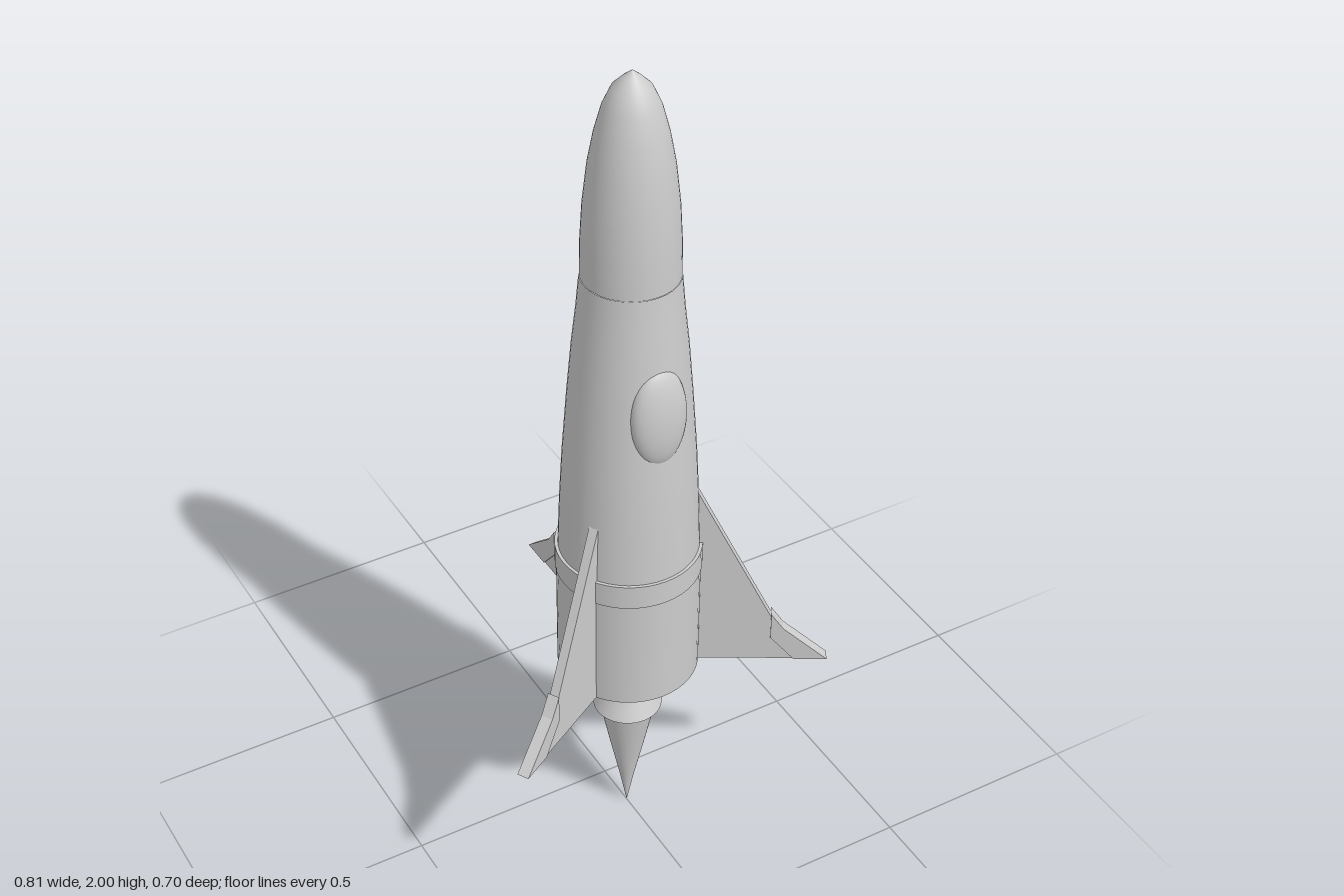
import * as THREE from 'three';

const AXIS_Z = 0.107;

export function createModel() {
  const model = new THREE.Group();
  model.name = 'rocket';
  const grey = new THREE.MeshStandardMaterial({ color: 0xcccccc });
  grey.name = 'light grey';

  const rocket = new THREE.Group();
  rocket.name = 'rocketAssembly';
  rocket.position.z = AXIS_Z;
  model.add(rocket);

  function add(name, geometry, parent = rocket) {
    const mesh = new THREE.Mesh(geometry, grey);
    mesh.name = name;
    parent.add(mesh);
    return mesh;
  }

  // Turned section; points are [radius, height], running upwards or outside-in
  function turn(name, points) {
    const profile = points.map(([r, y]) => new THREE.Vector2(r, y));
    return add(name, new THREE.LatheGeometry(profile, 48));
  }

  // Flat prism in the radial plane, centred on its thickness
  function plate(points, thickness) {
    const shape = new THREE.Shape(points.map(([r, y]) => new THREE.Vector2(r, y)));
    const geometry = new THREE.ExtrudeGeometry(shape, { depth: thickness, bevelEnabled: false });
    return geometry.translate(0, 0, -thickness / 2);
  }

  // Hull
  turn('engineSection', [[0.162, 0.475], [0.162, 0.79]]);
  turn('hullBase', [[0, 0.475], [0.162, 0.475]]);
  turn('hull', [
    [0.159, 0.79], [0.153, 0.95], [0.146, 1.08], [0.135, 1.23],
    [0.124, 1.36], [0.114, 1.45], [0.107, 1.53],
  ]);
  turn('nose', [
    [0.106, 1.53], [0.105, 1.61], [0.1, 1.7], [0.09, 1.79], [0.077, 1.86],
    [0.061, 1.92], [0.042, 1.962], [0.02, 1.984], [0, 2],
  ]);

  // Raised band around the hull
  turn('bandSide', [[0.165, 0.76], [0.165, 0.82]]);
  turn('bandTop', [[0.165, 0.82], [0.15, 0.82]]);
  turn('bandBottom', [[0.15, 0.76], [0.165, 0.76]]);

  // Nozzle and exhaust
  turn('nozzle', [
    [0.08, 0.33], [0.067, 0.358], [0.051, 0.39], [0.043, 0.418],
    [0.045, 0.445], [0.05, 0.477],
  ]);
  turn('nozzleBase', [[0, 0.33], [0.08, 0.33]]);
  turn('exhaustFlame', [[0, 0], [0.018, 0.095], [0.043, 0.215], [0.066, 0.331]]);

  // Bulging oval window
  const porthole = add('window', new THREE.SphereGeometry(1, 32, 20));
  porthole.scale.set(0.066, 0.121, 0.036);
  porthole.position.set(0, 1.24, 0.119);
  porthole.rotation.x = -0.06;

  // Three fins with thicker feet
  const finShape = [[0.13, 0.475], [0.44, 0.475], [0.342, 0.565], [0.147, 0.97], [0.13, 0.97]];
  const footShape = [[0.38, 0.475], [0.457, 0.475], [0.354, 0.567], [0.325, 0.61], [0.325, 0.54]];
  for (let i = 0; i < 3; i++) {
    const fin = new THREE.Group();
    fin.name = 'fin' + (i + 1);
    fin.rotation.y = Math.PI / 2 + (i * Math.PI * 2) / 3;
    rocket.add(fin);
    add('finBlade', plate(finShape, 0.022), fin);
    add('finFoot', plate(footShape, 0.028), fin);
  }
  return model;
}
